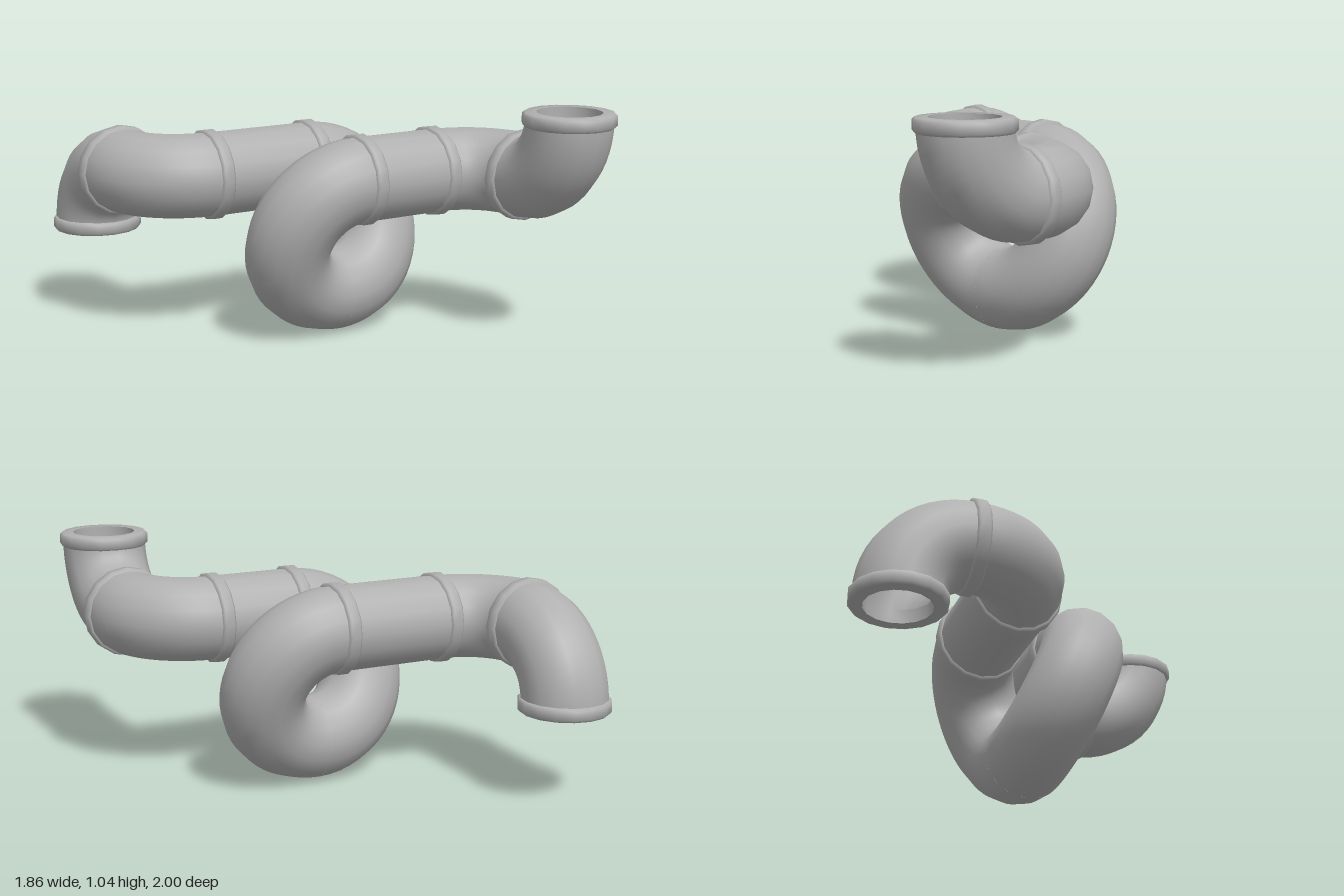
import * as THREE from 'three';
import { toCreasedNormals } from 'three/addons/utils/BufferGeometryUtils.js';

const SIDES = 16, PIPE = 0.187, BORE = 0.14, BEND = 0.29;
const v = (x, y, z) => new THREE.Vector3(x, y, z);

// Circular arc from a, leaving along dir, turning about centre
class Arc extends THREE.Curve {
  constructor(a, dir, centre, angle) {
    super();
    Object.assign(this, { centre, angle, u: a.clone().sub(centre), w: dir.clone().multiplyScalar(a.distanceTo(centre)) });
  }
  getPoint(t, target = new THREE.Vector3()) {
    const q = t * this.angle;
    return target.copy(this.centre).addScaledVector(this.u, Math.cos(q)).addScaledVector(this.w, Math.sin(q));
  }
}

export function createModel() {
  const model = new THREE.Group();
  model.name = 'loopedPipe';
  const steel = new THREE.MeshStandardMaterial({ color: 0xb0b0b0, side: THREE.DoubleSide });
  steel.name = 'grey metal';

  const add = (name, geometry) => {
    const mesh = new THREE.Mesh(geometry, steel);
    mesh.name = name;
    model.add(mesh);
    return mesh;
  };
  const tube = (name, curve, steps, radius = PIPE) =>
    add(name, new THREE.TubeGeometry(curve, steps, radius, SIDES, false));

  // Collar ring with bevelled rims
  const profile = [[BORE, -0.03], [0.19, -0.03], [0.2, -0.02], [0.2, 0.02], [0.19, 0.03], [BORE, 0.03], [BORE, -0.03]];
  const collarGeometry = toCreasedNormals(
    new THREE.LatheGeometry(profile.map(([r, y]) => new THREE.Vector2(r, y)), SIDES), 0.9);
  const collar = (name, position, axis) => {
    const mesh = add(name, collarGeometry);
    mesh.position.copy(position);
    mesh.quaternion.setFromUnitVectors(v(0, 1, 0), axis);
  };

  const Y = 0.724, Z = 0.22, MID = 0.06, LOW = 0.187;
  const X = v(1, 0, 0), UP = v(0, 1, 0), FWD = v(0, 0, 1);

  // Front run (s = 1) and back run (s = -1)
  for (const s of [1, -1]) {
    const side = s > 0 ? 'front' : 'back';
    const top = v(MID, Y, s * Z);
    const runEnd = v(s * 0.44, Y, s * Z);
    const corner = v(s * (0.44 + BEND), Y, s * (Z + BEND));
    const mouth = v(corner.x, Y + s * BEND, corner.z + s * BEND);

    // Tilted half of the loop
    const bottom = v(MID, LOW, 0);
    tube(side + 'HalfLoop', new Arc(top, v(-s, 0, 0), top.clone().add(bottom).multiplyScalar(0.5), Math.PI), 28);

    // Straight run and the two elbows
    tube(side + 'Straight', new THREE.LineCurve3(top, runEnd), 1);
    tube(side + 'SideElbow', new Arc(runEnd, v(s, 0, 0), v(runEnd.x, Y, corner.z), Math.PI / 2), 14);
    const endBend = new Arc(corner, v(0, 0, s), v(corner.x, mouth.y, corner.z), Math.PI / 2);
    tube(side + 'EndElbow', endBend, 14);
    tube(side + 'EndBore', endBend, 14, BORE);

    // Collars on every joint and at the open mouth
    collar(side + 'LoopCollar', top, X);
    collar(side + 'RunCollar', runEnd, X);
    collar(side + 'CornerCollar', corner, FWD);
    collar(side + 'MouthCollar', mouth, UP);
  }
  return model;
}
